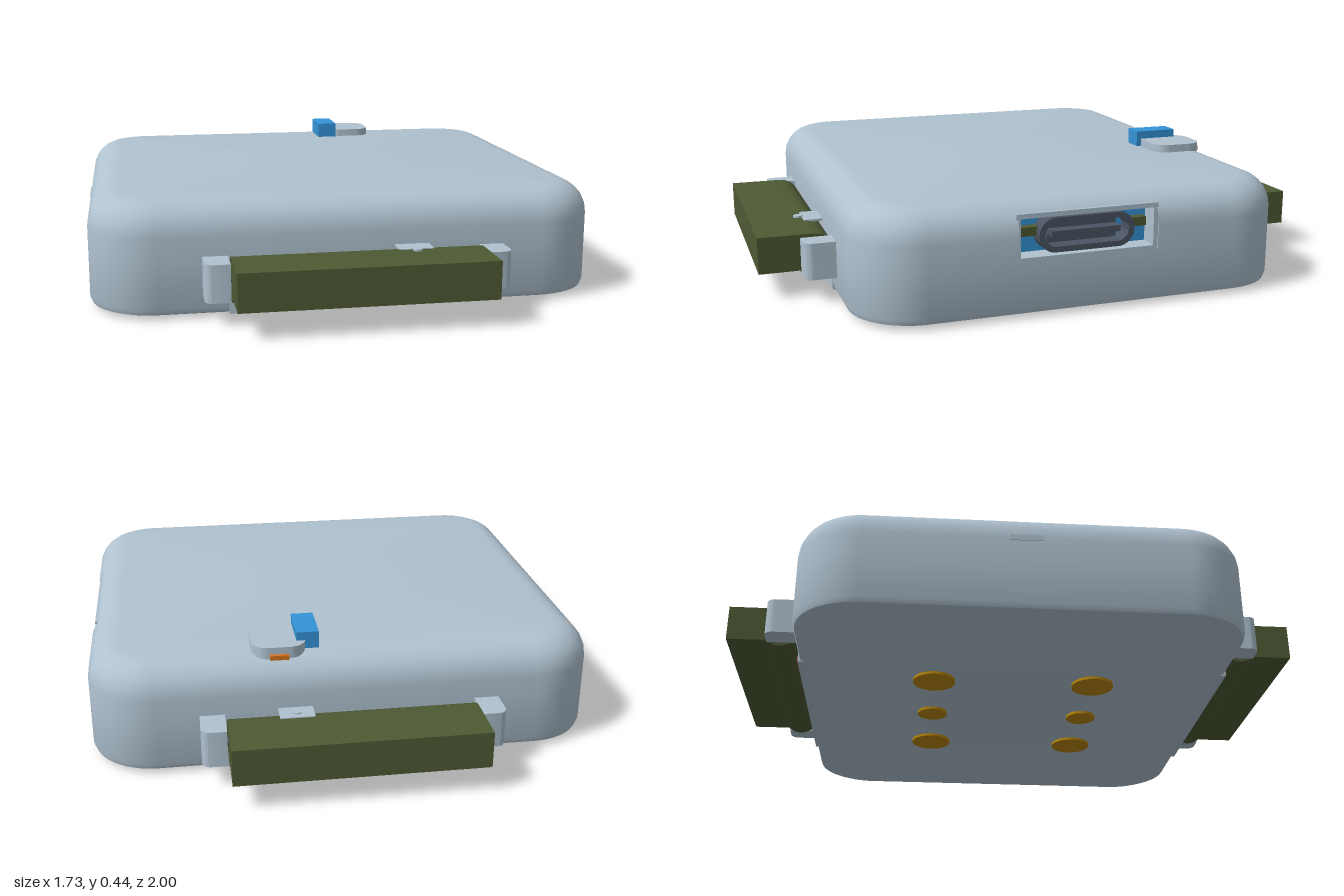
import * as THREE from 'three';
import { toCreasedNormals } from 'three/addons/utils/BufferGeometryUtils.js';
import { RoundedBoxGeometry } from 'three/addons/geometries/RoundedBoxGeometry.js';

const material = (name, color) => {
  const m = new THREE.MeshStandardMaterial({ color });
  m.name = name;
  return m;
};

// Rounded rectangle centred on the origin
function roundRect(w, h, r, Type = THREE.Shape) {
  const s = new Type(), x = w / 2 - r, y = h / 2 - r;
  s.absarc(x, y, r, 0, Math.PI / 2);
  s.absarc(-x, y, r, Math.PI / 2, Math.PI);
  s.absarc(-x, -y, r, Math.PI, Math.PI * 1.5);
  s.absarc(x, -y, r, Math.PI * 1.5, Math.PI * 2);
  s.closePath();
  return s;
}

const extrude = (shape, depth) =>
  toCreasedNormals(new THREE.ExtrudeGeometry(shape, { depth, bevelEnabled: false, curveSegments: 8 }), 0.6);

// Case shell: stacked rounded outlines, with a port opening left in the +x wall
function caseGeometry() {
  const HX = 0.862, HZ = 0.75, R = 0.22, N = 12, PORT = 0.24;
  const rows = [[0.025, 0.01], [0.007, 0.017], [0, 0.035], [0, 0.19], [0, 0.27]];
  for (const deg of [16.5, 33.06, 47, 61, 75, 90]) {
    const t = THREE.MathUtils.degToRad(deg);
    rows.push([0.11 * (1 - Math.cos(t)), 0.27 + 0.11 * Math.sin(t)]);
  }
  const loops = rows.map(([inset, y]) => {
    const pts = [];
    [[1, 1], [-1, 1], [-1, -1], [1, -1]].forEach(([sx, sz], q) => {
      for (let k = 0; k <= N; k++) {
        const a = (q + k / N) * Math.PI / 2;
        pts.push([sx * (HX - R) + (R - inset) * Math.cos(a), y, sz * (HZ - R) + (R - inset) * Math.sin(a)]);
      }
    });
    pts.push([HX - inset, y, -PORT], [HX - inset, y, PORT]);
    return pts;
  });
  const pos = [], n = loops[0].length, last = loops.length - 1;
  const tri = (...p) => p.forEach((v) => pos.push(...v));
  for (let i = 0; i < n; i++) {
    const k = (i + 1) % n;
    for (let j = 0; j < last; j++) {
      if (i === n - 2 && j >= 3 && j <= 5) continue;
      const a = loops[j][i], b = loops[j][k], c = loops[j + 1][k], d = loops[j + 1][i];
      tri(a, d, c);
      tri(a, c, b);
    }
    tri([0, 0.01, 0], loops[0][i], loops[0][k]);
    tri([0, 0.38, 0], loops[last][k], loops[last][i]);
  }
  const g = new THREE.BufferGeometry();
  g.setAttribute('position', new THREE.Float32BufferAttribute(pos, 3));
  return toCreasedNormals(g, 0.7);
}

export function createModel() {
  const model = new THREE.Group();
  model.name = 'wearableDevice';
  const shell = material('paleBlueGrey', 0xb0c2d0);
  const olive = material('oliveGreen', 0x4e5a34);
  const blue = material('brightBlue', 0x3494d8);
  const dark = material('darkGrey', 0x4c5464);
  const gold = material('gold', 0xb8860b);
  const orange = material('orange', 0xd8751f);

  const add = (name, geometry, mat, parent = model) => {
    const m = new THREE.Mesh(geometry, mat);
    m.name = name;
    parent.add(m);
    return m;
  };
  // Box given by its minimum and maximum corners
  const box = (name, x0, x1, y0, y1, z0, z1, mat, parent) => {
    const m = add(name, new THREE.BoxGeometry(x1 - x0, y1 - y0, z1 - z0), mat, parent);
    m.position.set((x0 + x1) / 2, (y0 + y1) / 2, (z0 + z1) / 2);
    return m;
  };

  add('case', caseGeometry(), shell).position.z = 0.005;

  // Port recess in the +x wall
  const port = new THREE.Group();
  port.name = 'chargingPort';
  port.position.z = 0.005;
  model.add(port);
  box('recessFloor', 0.76, 0.847, 0.18, 0.196, -0.245, 0.245, shell, port);
  box('recessRoof', 0.76, 0.847, 0.324, 0.34, -0.245, 0.245, shell, port);
  for (const s of [-1, 1]) {
    box('recessSide', 0.76, 0.847, 0.19, 0.33, s * 0.238 - 0.008, s * 0.238 + 0.008, shell, port);
    box('circuitBoardEdge', 0.77, 0.81, 0.255, 0.285, s * 0.19 - 0.03, s * 0.19 + 0.03, olive, port);
  }
  box('recessBack', 0.75, 0.78, 0.19, 0.33, -0.24, 0.24, blue, port);
  const socketShape = roundRect(0.33, 0.115, 0.057);
  socketShape.holes.push(roundRect(0.29, 0.078, 0.038, THREE.Path));
  const socket = add('socketShell', extrude(socketShape, 0.07), dark, port);
  socket.rotation.y = Math.PI / 2;
  socket.position.set(0.77, 0.26, 0);
  box('socketBack', 0.77, 0.79, 0.222, 0.298, -0.12, 0.12, dark, port);
  box('socketTongue', 0.78, 0.83, 0.25, 0.27, -0.12, 0.12, dark, port);

  // Slit in the -x wall
  box('sideSlit', -0.865, -0.86, 0.26, 0.28, -0.05, 0.06, shell);

  // Top button and its slider
  const button = add('topButton', extrude(roundRect(0.18, 0.19, 0.055), 0.04), shell);
  button.rotation.x = -Math.PI / 2;
  button.position.set(0.23, 0.368, -0.595);
  box('topSlider', 0.095, 0.17, 0.375, 0.437, -0.645, -0.487, blue);
  box('buttonTab', 0.2, 0.262, 0.368, 0.384, -0.703, -0.685, orange);

  // Contact pads underneath
  for (const z of [-0.275, 0.295]) {
    for (const [x, r] of [[-0.3, 0.075], [0, 0.055], [0.3, 0.075]]) {
      add('contactPad', new THREE.CylinderGeometry(r, r, 0.012, 32), gold).position.set(x, 0.006, z);
    }
  }

  // Strap profile in (z, y): flat band with a rounded pin loop at its inner end
  const profile = new THREE.Shape();
  profile.moveTo(1, 0.09);
  profile.lineTo(1, 0.215);
  profile.lineTo(0.815, 0.215);
  profile.absarc(0.815, 0.1425, 0.0725, Math.PI / 2, Math.PI * 1.75);
  profile.lineTo(0.872, 0.09);
  profile.closePath();

  // Lug outline in (x, z) with rounded outer corners
  const lugShape = new THREE.Shape();
  lugShape.moveTo(-0.041, 0);
  lugShape.lineTo(0.041, 0);
  lugShape.lineTo(0.041, 0.13);
  lugShape.absarc(0.011, 0.13, 0.03, 0, Math.PI / 2);
  lugShape.lineTo(-0.041, 0.16);
  lugShape.closePath();

  for (const s of [1, -1]) {
    const end = new THREE.Group();
    end.name = s > 0 ? 'frontStrapMount' : 'backStrapMount';
    end.rotation.y = s > 0 ? 0 : Math.PI;
    model.add(end);

    const strap = add('strap', extrude(profile, 0.826), olive, end);
    strap.rotation.y = -Math.PI / 2;
    strap.position.x = 0.413;
    const pin = add('springPin', new THREE.CylinderGeometry(0.015, 0.015, 0.9, 16), dark, end);
    pin.rotation.z = Math.PI / 2;
    pin.position.set(0, 0.1425, 0.81);
    for (const side of [-1, 1]) {
      const lug = add('lug', extrude(lugShape, 0.125), shell, end);
      // The outline turns over so its rounded corner faces outward on each side
      lug.rotation.set(Math.PI / 2, side > 0 ? 0 : Math.PI, 0);
      lug.position.set(side * 0.459, side > 0 ? 0.205 : 0.08, 0.7);
    }

    // Quick-release plate and knob, on the +x half at both ends
    box('releasePlate', s * 0.187 - 0.057, s * 0.187 + 0.057, 0.21, 0.218, 0.75, 0.82, shell, end);
    const knob = add('releaseKnob', new THREE.CylinderGeometry(0.016, 0.016, 0.02, 16), shell, end);
    knob.position.set(s * 0.187, 0.212, s > 0 ? 0.832 : 0.785);

    // Flat panel below the strap
    box('lowerPanel', -0.415, 0.415, 0.011, 0.08, 0.7, s > 0 ? 0.757 : 0.748, shell, end);
  }

  // Flexible strip showing under the straps
  box('flexStripUpper', -0.33, 0.33, 0.055, 0.072, 0.7, 0.762, orange);
  box('flexStripLower', -0.36, 0.36, 0.04, 0.054, 0.7, 0.775, orange);
  box('flexStripBack', -0.36, -0.27, 0.04, 0.06, -0.757, -0.7, orange);

  // Soft plug at the strip's end
  const plug = add('flexPlug', new RoundedBoxGeometry(0.03, 0.025, 0.03, 2, 0.006), shell);
  plug.position.set(-0.35, 0.062, 0.752);
  return model;
}
